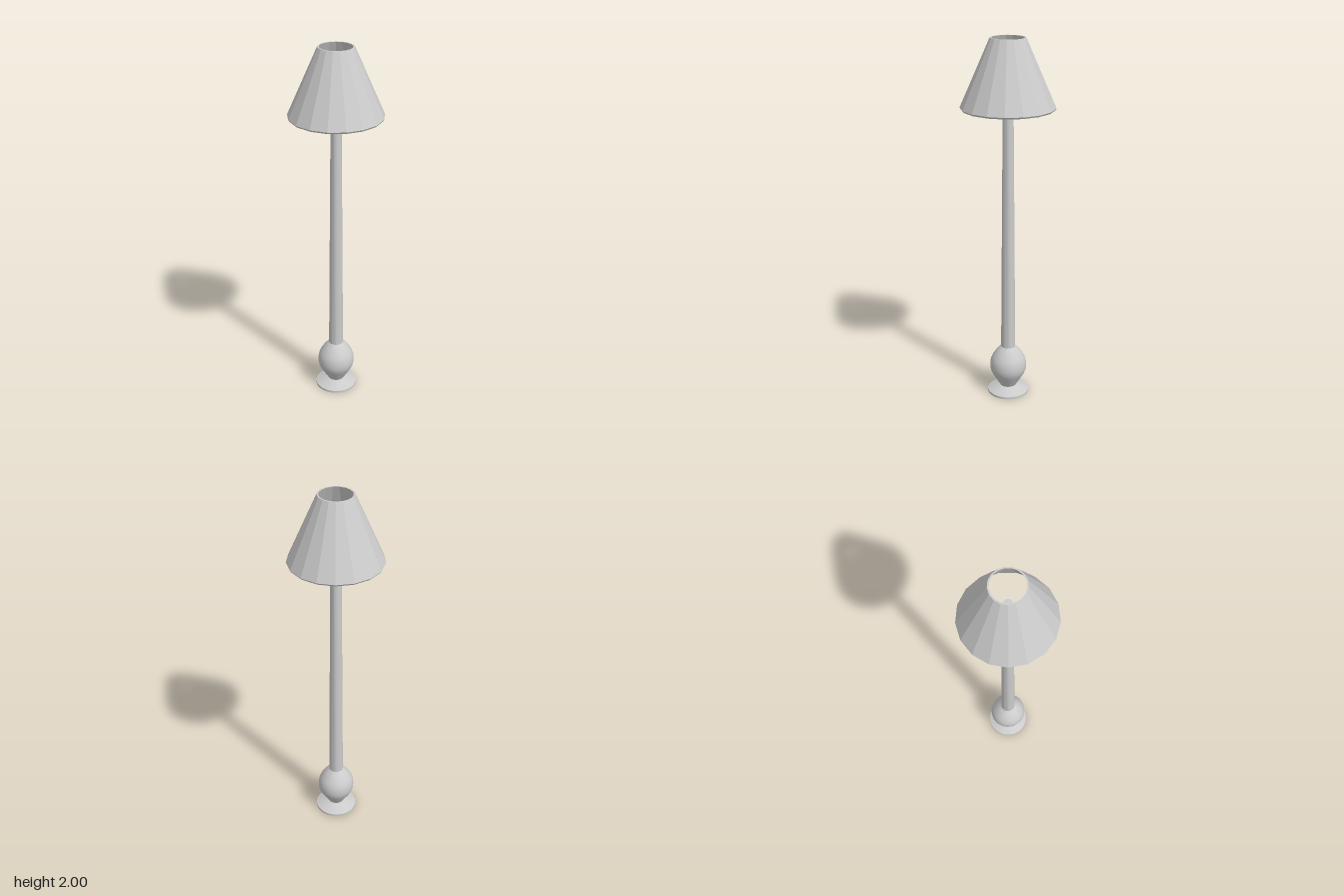
import * as THREE from 'three';
import { toCreasedNormals } from 'three/addons/utils/BufferGeometryUtils.js';

const grey = (opts = {}) => new THREE.MeshStandardMaterial({ color: 0xcccccc, ...opts });

// Turned part from [radius, height] pairs, listed from bottom to top
function turned(name, profile, sides, material, crease = 0.6) {
  const points = profile.map(([r, y]) => new THREE.Vector2(r, y));
  const geometry = toCreasedNormals(new THREE.LatheGeometry(points, sides), crease);
  const mesh = new THREE.Mesh(geometry, material);
  mesh.name = name;
  return mesh;
}

export function createModel() {
  const lamp = new THREE.Group();
  lamp.name = 'floorLamp';
  const smooth = grey();

  // Flat foot with a shallow cone on top
  lamp.add(turned('foot', [[0, 0], [0.115, 0], [0.115, 0.012], [0.05, 0.04], [0, 0.04]], 40, smooth, 0.3));

  // Rounded vase body, smoothed through a few control points
  const curve = new THREE.SplineCurve([
    [0.046, 0.04], [0.07, 0.08], [0.094, 0.122], [0.102, 0.16],
    [0.095, 0.205], [0.068, 0.25], [0.04, 0.28],
  ].map(([r, y]) => new THREE.Vector2(r, y)));
  const body = curve.getPoints(20).map((p) => [p.x, p.y]);
  lamp.add(turned('body', [[0, 0.04], ...body, [0, 0.28]], 40, smooth));

  // Tapered pole reaching up inside the shade
  lamp.add(turned('pole', [[0, 0.27], [0.04, 0.27], [0.027, 1.8], [0, 1.8]], 24, smooth));

  // Faceted hollow shade: closed wall section with a small bevelled lower rim
  const shade = turned('shade', [
    [0.085, 2], [0.236, 1.647], [0.244, 1.636], [0.25, 1.645], [0.093, 2], [0.085, 2],
  ], 17, grey({ flatShading: true, side: THREE.DoubleSide }), 0.1);
  shade.rotation.y = Math.PI;
  lamp.add(shade);

  return lamp;
}
